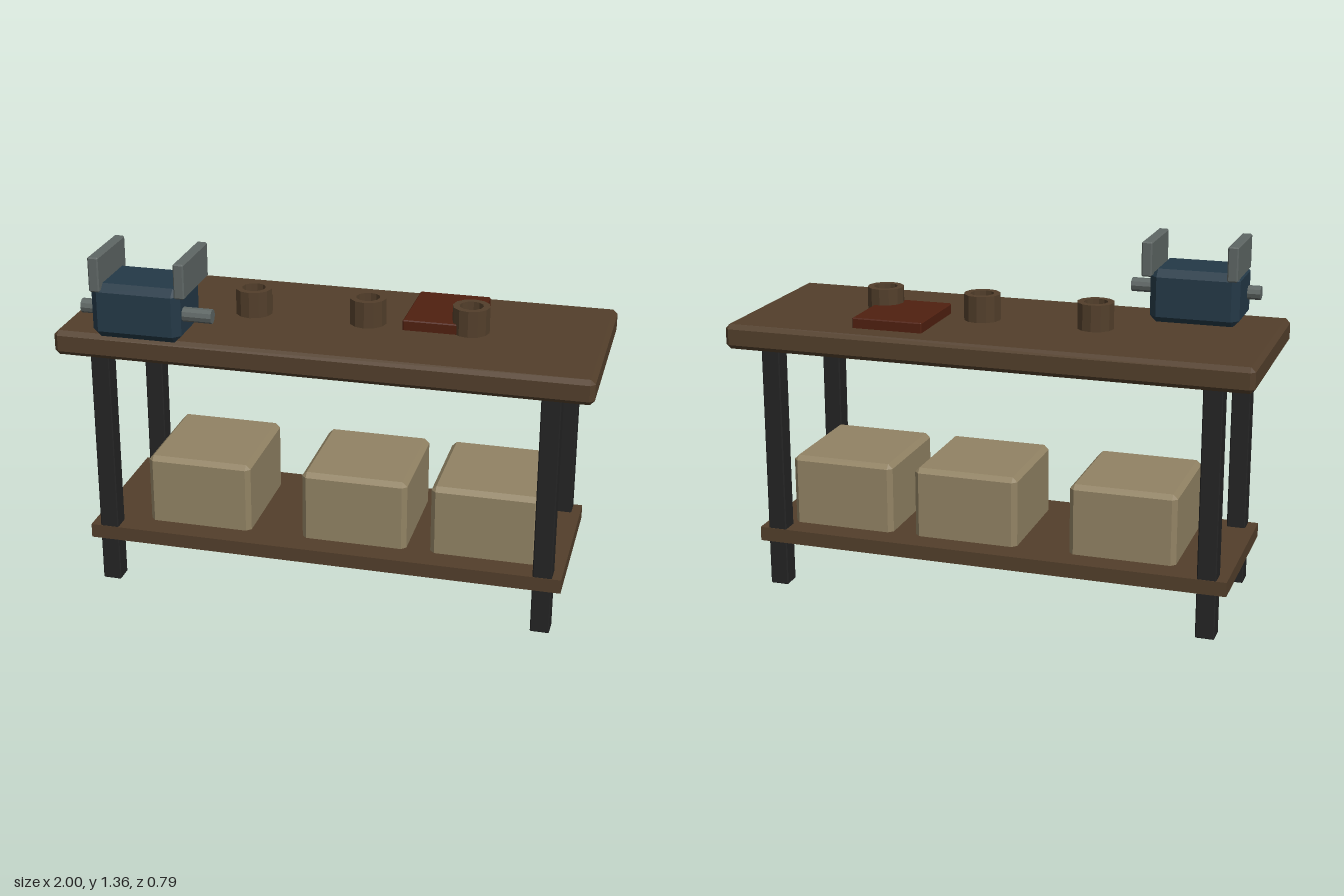
import * as THREE from 'three';
import { ConvexGeometry } from 'three/addons/geometries/ConvexGeometry.js';

function material(name, color) {
  const m = new THREE.MeshStandardMaterial({ color });
  m.name = name;
  return m;
}

// Box given by its limits, with every edge chamfered by b
function chamferBox([x0, x1], [y0, y1], [z0, z1], b) {
  const half = [(x1 - x0) / 2, (y1 - y0) / 2, (z1 - z0) / 2];
  const points = [];
  for (const sx of [-1, 1]) for (const sy of [-1, 1]) for (const sz of [-1, 1]) {
    for (let axis = 0; axis < 3; axis++) {
      const p = half.map((h, i) => (i === axis ? h : h - b));
      points.push(new THREE.Vector3(p[0] * sx, p[1] * sy, p[2] * sz));
    }
  }
  const g = new ConvexGeometry(points);
  g.translate((x0 + x1) / 2, (y0 + y1) / 2, (z0 + z1) / 2);
  return g;
}

export function createModel() {
  const wood = material('brown wood', 0x533f2b);
  const iron = material('black iron', 0x242424);
  const crate = material('tan crate', 0x928364);
  const blue = material('dark blue paint', 0x243947);
  const steel = material('grey steel', 0x5e6664);
  const red = material('rust red', 0x502010);

  const model = new THREE.Group();
  model.name = 'workbench';
  const add = (name, geometry, mat, parent = model) => {
    const mesh = new THREE.Mesh(geometry, mat);
    mesh.name = name;
    parent.add(mesh);
    return mesh;
  };

  // Bench top, shelf and legs
  add('benchTop', chamferBox([-1, 1], [0.955, 1.05], [-0.393, 0.365], 0.017), wood);
  const shelf = new THREE.BoxGeometry(1.835, 0.055, 0.635);
  add('shelf', shelf, wood).position.set(-0.002, 0.203, -0.013);
  for (const x of [-0.845, 0.845]) for (const z of [0.267, -0.292]) {
    add('leg', chamferBox([x - 0.036, x + 0.036], [0, 0.965], [z - 0.036, z + 0.036], 0.004), iron);
  }

  // Storage crates, sunk slightly into the shelf
  for (const x of [-0.505, 0.108, 0.608]) {
    add('crate', chamferBox([x - 0.204, x + 0.204], [0.205, 0.503], [-0.235, 0.21], 0.018), crate);
  }

  // Vise: body, two jaw plates and a screw rod
  const vise = new THREE.Group();
  vise.name = 'vise';
  model.add(vise);
  add('viseBody', chamferBox([-0.84, -0.5], [1.045, 1.252], [0.127, 0.382], 0.028), blue, vise);
  for (const x of [-0.815, -0.492]) {
    add('viseJaw', chamferBox([x - 0.02, x + 0.02], [1.226, 1.358], [0.115, 0.392], 0.005), steel, vise);
  }
  const rodGeometry = new THREE.CylinderGeometry(0.027, 0.027, 0.5, 10).toNonIndexed();
  rodGeometry.computeVertexNormals();
  const rod = add('viseRod', rodGeometry, steel, vise);
  rod.rotation.z = Math.PI / 2;
  rod.position.set(-0.64, 1.147, 0.322);

  // Hollow faceted rings on the bench
  const ring = new THREE.Shape().absarc(0, 0, 0.07, 0, Math.PI * 2);
  ring.holes.push(new THREE.Path().absarc(0, 0, 0.045, 0, Math.PI * 2, true));
  const ringGeometry = new THREE.ExtrudeGeometry(ring, { depth: 0.1, bevelEnabled: false, curveSegments: 6 });
  ringGeometry.rotateX(-Math.PI / 2);
  ringGeometry.computeVertexNormals();
  for (const x of [-0.335, 0.108, 0.498]) {
    add('ring', ringGeometry, wood).position.set(x, 1.05, -0.013);
  }

  // Flat red book
  add('book', chamferBox([0.25, 0.523], [1.045, 1.089], [-0.293, 0.037], 0.004), red);

  return model;
}
